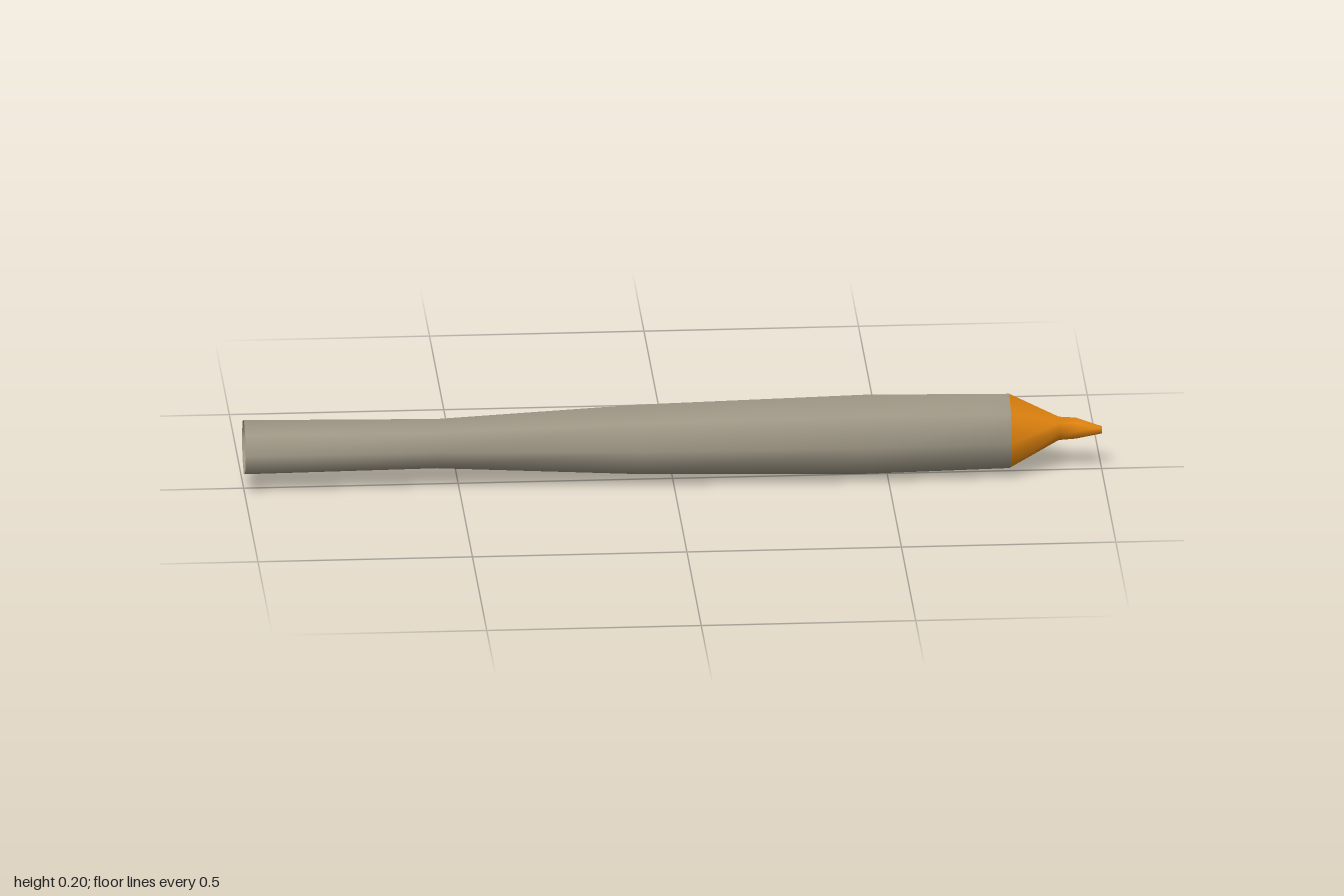
import * as THREE from 'three';

const SIDES = 8;

// Loft eight-sided rings along x; each ring is [x, centreY, centreZ, radius].
function loft(rings, capEnd) {
  const pos = [], index = [];
  for (const [x, y, z, r] of rings) {
    for (let j = 0; j < SIDES; j++) {
      const a = (j / SIDES) * Math.PI * 2;
      pos.push(x, y + r * Math.cos(a), z + r * Math.sin(a));
    }
  }
  for (let i = 0; i < rings.length - 1; i++) {
    for (let j = 0; j < SIDES; j++) {
      const k = (j + 1) % SIDES;
      const a = i * SIDES + j, b = i * SIDES + k;
      index.push(a, b, a + SIDES, b, b + SIDES, a + SIDES);
    }
  }
  if (capEnd) {
    const [x, y, z] = rings[rings.length - 1];
    const base = (rings.length - 1) * SIDES, centre = pos.length / 3;
    pos.push(x, y, z);
    for (let j = 0; j < SIDES; j++) index.push(base + j, base + (j + 1) % SIDES, centre);
  }
  const g = new THREE.BufferGeometry();
  g.setAttribute('position', new THREE.Float32BufferAttribute(pos, 3));
  g.setIndex(index);
  g.computeVertexNormals();
  return g;
}

export function createModel() {
  const group = new THREE.Group();
  group.name = 'taperedPen';
  const grey = new THREE.MeshStandardMaterial({ color: 0x9c9584, side: THREE.DoubleSide });
  grey.name = 'warmGrey';
  const orange = new THREE.MeshStandardMaterial({ color: 0xe0830f, side: THREE.DoubleSide });
  orange.name = 'orange';

  // Hollow barrel, open at the back end
  const barrel = new THREE.Mesh(loft([
    [-1, 0.106, 0.007, 0.067],
    [-0.55, 0.104, 0.007, 0.061],
    [-0.08, 0.102, 0.004, 0.086],
    [0.45, 0.1, -0.001, 0.098],
    [0.785, 0.099, -0.004, 0.092],
  ], false), grey);
  barrel.name = 'barrel';

  // Pointed nose with a narrow neck
  const tip = new THREE.Mesh(loft([
    [0.785, 0.099, -0.004, 0.092],
    [0.9, 0.104, 0, 0.029],
    [0.94, 0.104, 0.001, 0.026],
    [1, 0.101, 0.008, 0.009],
  ], true), orange);
  tip.name = 'tip';

  group.add(barrel, tip);
  return group;
}
